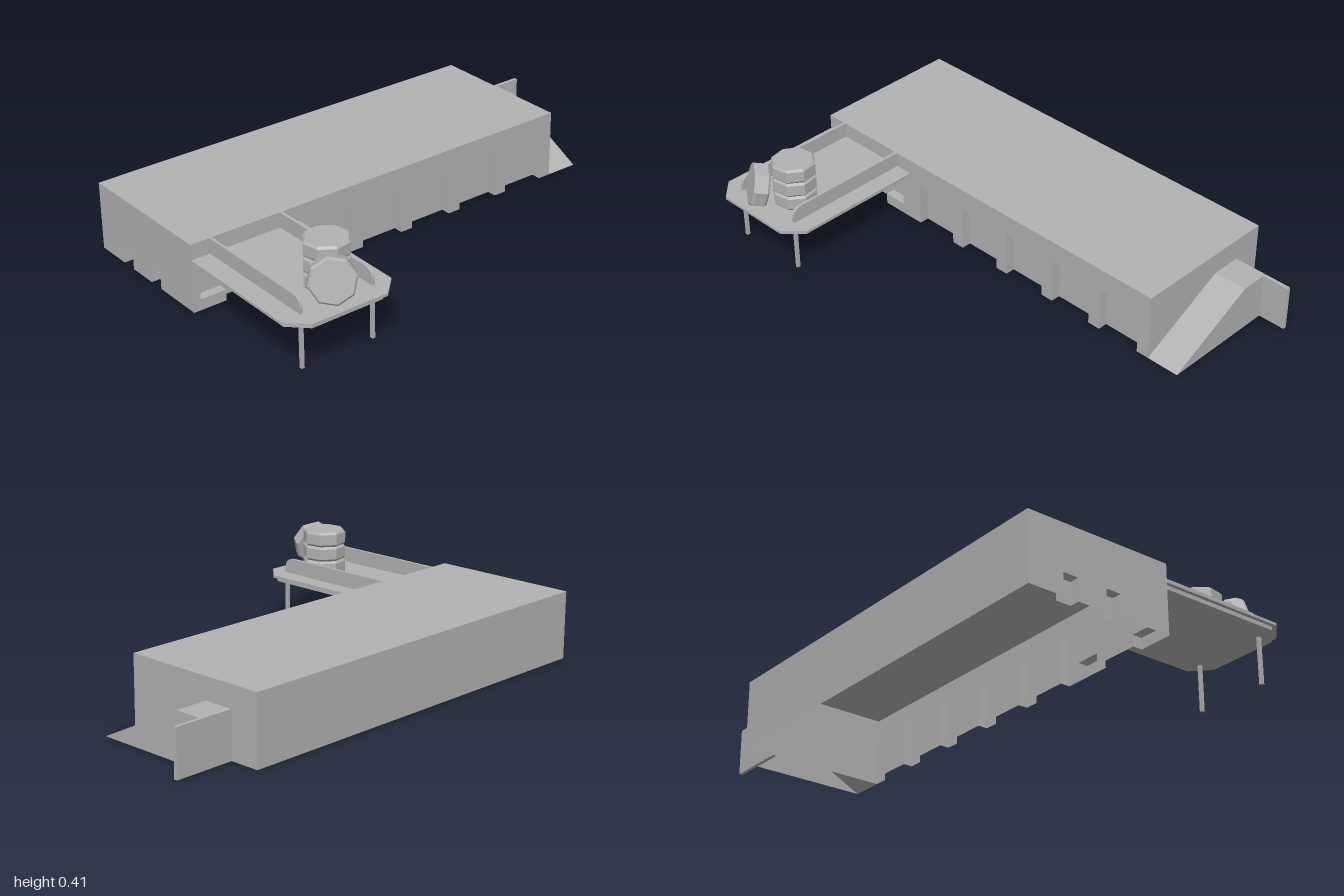
import * as THREE from 'three';

const grey = new THREE.MeshStandardMaterial({ color: 0xb2b2b2, side: THREE.DoubleSide, flatShading: true });
grey.name = 'concrete grey';

const toShape = pts => new THREE.Shape(pts.map(([x, y]) => new THREE.Vector2(x, y)));

function add(parent, name, geometry, x = 0, y = 0, z = 0) {
  const mesh = new THREE.Mesh(geometry, grey);
  mesh.name = name;
  mesh.position.set(x, y, z);
  parent.add(mesh);
  return mesh;
}

function box(parent, name, x0, x1, y0, y1, z0, z1) {
  return add(parent, name, new THREE.BoxGeometry(x1 - x0, y1 - y0, z1 - z0),
    (x0 + x1) / 2, (y0 + y1) / 2, (z0 + z1) / 2);
}

// Sheet wall facing local +z; every opening starts and ends on the ground and is set back
function recessedWall(name, x0, x1, height, openings, depth) {
  const wall = new THREE.Group();
  wall.name = name;
  add(wall, name + 'Face', new THREE.ShapeGeometry(toShape([[x0, 0], ...openings.flat(), [x1, 0], [x1, height], [x0, height]])));
  for (const pts of openings) {
    add(wall, 'recessedDoor', new THREE.ShapeGeometry(toShape(pts)), 0, 0, -depth);
    const jamb = [];
    for (let i = 0; i < pts.length - 1; i++) {
      const [ax, ay] = pts[i], [bx, by] = pts[i + 1];
      jamb.push(ax, ay, 0, ax, ay, -depth, bx, by, -depth, ax, ay, 0, bx, by, -depth, bx, by, 0);
    }
    const g = new THREE.BufferGeometry();
    g.setAttribute('position', new THREE.Float32BufferAttribute(jamb, 3));
    g.computeVertexNormals();
    add(wall, 'doorJamb', g);
  }
  return wall;
}

const door = (a, b, h) => [[a, 0], [a, h], [b, h], [b, 0]];

// Horizontal slab with two chamfered front corners
function slab(parent, name, x0, x1, z1, chamfer, y0, y1) {
  const shape = toShape([[x0, 0], [x1, 0], [x1, z1 - chamfer], [x1 - chamfer, z1], [x0 + chamfer, z1], [x0, z1 - chamfer]]);
  const g = new THREE.ExtrudeGeometry(shape, { depth: y1 - y0, bevelEnabled: false });
  g.rotateX(Math.PI / 2);
  add(parent, name, g, 0, y1, 0);
}

// Eight-sided drum with small bevels, centred on its middle
function drum(parent, name) {
  const profile = [[0, -0.031], [0.082, -0.031], [0.09, -0.022], [0.09, 0.022], [0.082, 0.031], [0, 0.031]];
  return add(parent, name, new THREE.LatheGeometry(profile.map(([x, y]) => new THREE.Vector2(x, y)), 8));
}

export function createModel() {
  const model = new THREE.Group();
  model.name = 'depot';
  const L = -1, R = 0.745, H = 0.28, B = -0.625;

  // Hall: open underneath, thin sheet walls
  const hall = new THREE.Group();
  hall.name = 'hall';
  model.add(hall);
  const entrance = [[-0.86, 0], [-0.86, 0.045], [-0.97, 0.045], [-0.97, 0.12],
    [-0.57, 0.12], [-0.57, 0.045], [-0.67, 0.045], [-0.67, 0]];
  const bays = [0, 1, 2, 3, 4].map(i => door(-0.47 + i * 0.243, -0.282 + i * 0.243, 0.19));
  hall.add(recessedWall('frontWall', L, R, H, [entrance, ...bays], 0.04));

  const sideWall = recessedWall('rightWall', B, 0, H, [door(-0.475, -0.41, 0.09), door(-0.285, -0.22, 0.09)], 0.04);
  sideWall.rotation.y = -Math.PI / 2;
  sideWall.position.x = L;
  hall.add(sideWall);

  const midX = (L + R) / 2;
  add(hall, 'backWall', new THREE.PlaneGeometry(R - L, H), midX, H / 2, B).rotation.y = Math.PI;
  add(hall, 'leftWall', new THREE.PlaneGeometry(-B, H), R, H / 2, B / 2).rotation.y = Math.PI / 2;
  add(hall, 'roof', new THREE.PlaneGeometry(R - L, -B), midX, H, B / 2).rotation.x = -Math.PI / 2;

  // Loading ramp with a flat landing, open underneath
  const ramp = new THREE.Group();
  ramp.name = 'ramp';
  model.add(ramp);
  const rampX = 0.885, rampW = rampX - R, top = 0.19, slopeZ = 0.375;
  const slope = add(ramp, 'rampSlope', new THREE.PlaneGeometry(rampW, Math.hypot(top, slopeZ)), (R + rampX) / 2, top / 2, -slopeZ / 2);
  slope.rotation.x = -Math.atan2(slopeZ, top);
  add(ramp, 'rampLanding', new THREE.PlaneGeometry(rampW, 0.125), (R + rampX) / 2, top, -slopeZ - 0.0625).rotation.x = -Math.PI / 2;
  const side = new THREE.ShapeGeometry(toShape([[0, 0], [0.49, 0], [0.49, top], [slopeZ, top]]));
  add(ramp, 'rampSide', side, rampX, 0, 0).rotation.y = Math.PI / 2;
  box(ramp, 'rampEndWall', R, 1, 0, top, -0.5, -0.485);

  // Canopy slabs, side rails and legs
  const canopy = new THREE.Group();
  canopy.name = 'canopy';
  model.add(canopy);
  slab(canopy, 'canopySlab', -0.985, -0.54, 0.605, 0.07, 0.19, 0.206);
  slab(canopy, 'canopyLip', L, -0.525, 0.62, 0.075, 0.206, 0.217);
  const rail = new THREE.Shape();
  rail.moveTo(0, 0.21);
  rail.lineTo(0.545, 0.21);
  rail.lineTo(0.545, 0.235);
  rail.quadraticCurveTo(0.545, H, 0.5, H);
  rail.lineTo(0, H);
  for (const x of [-0.914, -0.605]) {
    const g = new THREE.ExtrudeGeometry(rail, { depth: 0.012, bevelEnabled: false, curveSegments: 5 });
    g.rotateY(-Math.PI / 2);
    add(canopy, 'canopyRail', g, x + 0.006, 0, 0);
    box(canopy, 'canopyLeg', x - 0.006, x + 0.006, 0, 0.19, 0.531, 0.545);
  }

  // Three stacked drums and one leaning against them
  const stack = new THREE.Group();
  stack.name = 'tyreStack';
  model.add(stack);
  for (let i = 0; i < 3; i++) {
    const d = drum(stack, 'stackedTyre');
    d.position.set(-0.72, 0.249 + i * 0.0625, 0.433);
    d.rotation.y = 0.56;
  }
  const leaning = drum(stack, 'leaningTyre');
  leaning.position.set(-0.79, 0.311, 0.555);
  const axis = new THREE.Vector3(-0.54, 0.25, 0.84).normalize();
  leaning.quaternion.setFromUnitVectors(new THREE.Vector3(0, 1, 0), axis);
  leaning.rotateY(0.39);
  return model;
}
